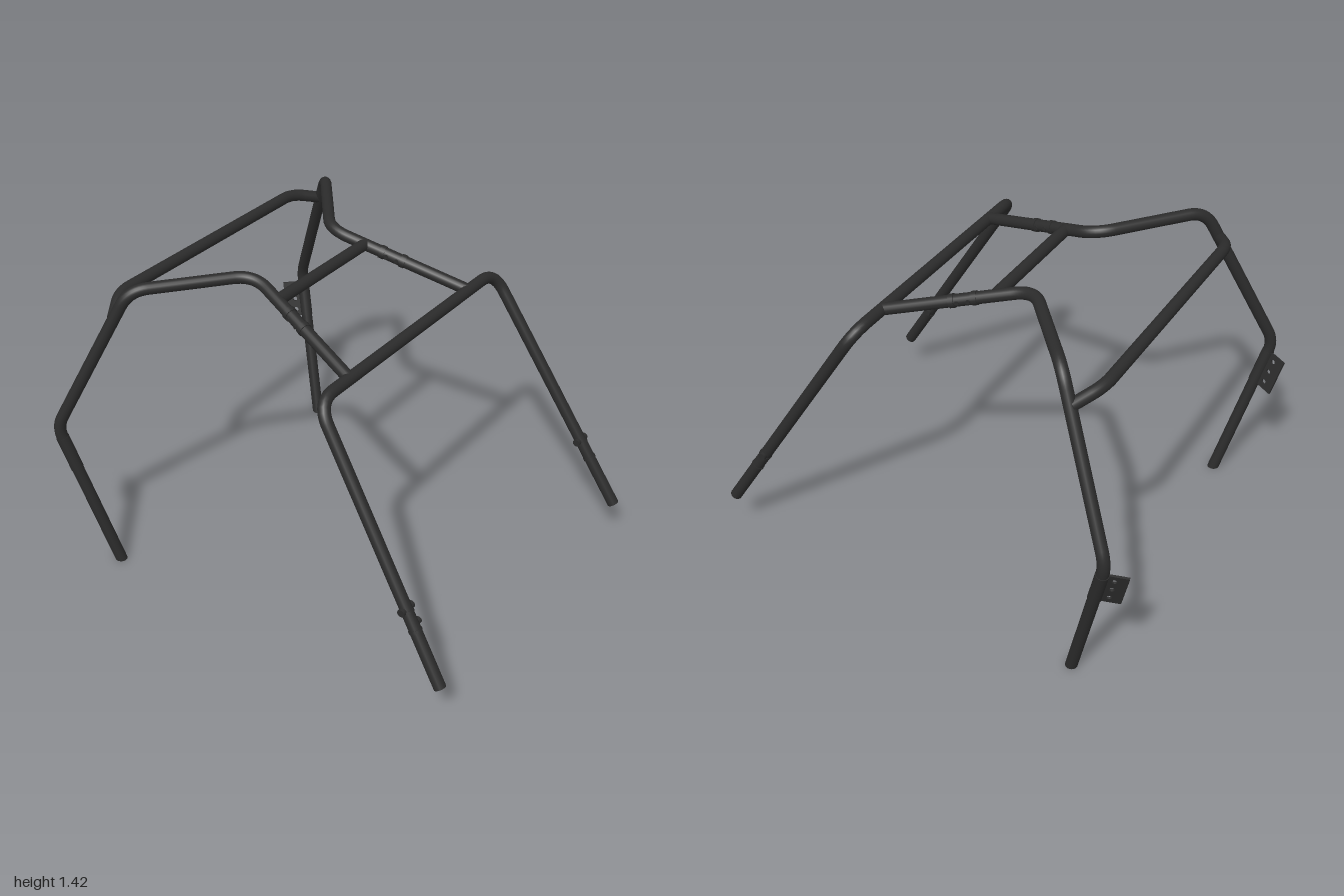
import * as THREE from 'three';

const R = 0.026;
const V = (x, y, z) => new THREE.Vector3(x, y, z);
const steel = new THREE.MeshStandardMaterial({ color: 0x2b2b2b });
const plateSteel = new THREE.MeshStandardMaterial({ color: 0x2b2b2b, side: THREE.DoubleSide });

function add(parent, name, geometry, material = steel) {
  const mesh = new THREE.Mesh(geometry, material);
  mesh.name = name;
  parent.add(mesh);
  return mesh;
}

// Straight runs joined by rounded bends; bends[i] is the setback at inner corner i
function bentPath(points, bends) {
  const path = new THREE.CurvePath();
  let from = points[0];
  for (let i = 1; i < points.length - 1; i++) {
    const p = points[i];
    const a = p.clone().add(points[i - 1].clone().sub(p).setLength(bends[i - 1]));
    const b = p.clone().add(points[i + 1].clone().sub(p).setLength(bends[i - 1]));
    path.add(new THREE.LineCurve3(from, a));
    path.add(new THREE.QuadraticBezierCurve3(a, p, b));
    from = b;
  }
  path.add(new THREE.LineCurve3(from, points[points.length - 1]));
  return path;
}

// Round pipe with closed ends; a flat foot is cut level with the ground
function pipe(parent, name, points, bends = [], flatFoot = false) {
  const path = bentPath(points, bends);
  const segments = bends.length ? 180 : 1;
  const geo = new THREE.TubeGeometry(path, segments, R, 18, false);
  const last = points.length - 1;
  const startDir = points[0].clone().sub(points[1]).normalize();
  let endDir = points[last].clone().sub(points[last - 1]).normalize();
  if (flatFoot) {
    const pos = geo.attributes.position;
    for (let i = segments * 19; i < pos.count; i++) {
      const k = -pos.getY(i) / endDir.y;
      pos.setXYZ(i, pos.getX(i) + k * endDir.x, 0, pos.getZ(i) + k * endDir.z);
    }
    endDir = V(0, -1, 0);
  }
  add(parent, name, geo);
  [[points[0], startDir], [points[last], endDir]].forEach(([p, d]) => {
    const cap = add(parent, name + 'End', new THREE.CircleGeometry(R, 18));
    cap.position.copy(p);
    cap.quaternion.setFromUnitVectors(V(0, 0, 1), d);
  });
}

// Cylinder centred at a point with its axis along a direction
function rod(parent, name, at, dir, radius, length) {
  const mesh = add(parent, name, new THREE.CylinderGeometry(radius, radius, length, 18));
  mesh.position.copy(at);
  mesh.quaternion.setFromUnitVectors(V(0, 1, 0), dir.clone().normalize());
  return mesh;
}

export function createModel() {
  const model = new THREE.Group();
  model.name = 'rollCage';

  // Front hoop
  pipe(model, 'frontHoop', [
    V(-0.725, 0.18, 0.975), V(-0.634, 1.215, 0.322), V(0.634, 1.215, 0.322), V(0.725, 0.18, 0.975),
  ], [0.1, 0.1]);

  // Cross bars
  pipe(model, 'roofCrossBar', [V(-0.298, 1.35, -0.13), V(0.298, 1.35, -0.13)]);
  pipe(model, 'rearCrossBar', [
    V(-0.695, 1.265, -0.672), V(-0.575, 1.305, -0.747), V(0.575, 1.305, -0.747), V(0.695, 1.265, -0.672),
  ], [0.06, 0.06]);

  for (const s of [1, -1]) {
    const side = new THREE.Group();
    side.name = s > 0 ? 'leftSide' : 'rightSide';
    model.add(side);

    // Roof rail running back and down into the rear leg
    const front = V(s * 0.43, 1.215, 0.32), waist = V(s * 0.257, 1.395, -0.285);
    const shoulder = V(s * 0.656, 1.395, -0.61);
    const knee = V(s * 0.855, 0.72, -0.915), foot = V(s * 0.74, 0, -0.737);
    pipe(side, 'sideRail', [front, waist, shoulder, knee, foot], [0.09, 0.08, 0.06], true);

    // Split joint in the roof rail: two collars and cross bolts
    const railDir = waist.clone().sub(front);
    const onRail = (z) => front.clone().lerp(waist, (front.z - z) / (front.z - waist.z));
    for (const z of [0.038, -0.052]) rod(side, 'railCollar', onRail(z), railDir, 0.0295, 0.022);
    const across = railDir.clone().cross(V(0, 1, 0));
    for (const z of [0.015, -0.03]) rod(side, 'railBolt', onRail(z), across, 0.009, 0.058);

    // Joint in the front leg: collar and clamp bolt
    const top = V(s * 0.634, 1.215, 0.322), toe = V(s * 0.725, 0.18, 0.975);
    const legDir = toe.clone().sub(top);
    const onLeg = (y) => top.clone().lerp(toe, (top.y - y) / (top.y - toe.y));
    rod(side, 'legCollar', onLeg(0.395), legDir, 0.0285, 0.012);
    rod(side, 'legCollar', onLeg(0.465), legDir, 0.0285, 0.012);
    rod(side, 'clampBolt', onLeg(0.475), V(1, 0, 0), 0.017, 0.074);
    if (s < 0) rod(side, 'clampNut', onLeg(0.415).add(V(0.03, 0, 0)), V(1, 0, 0), 0.015, 0.02);

    // Drilled bracket plate with its saddle on the rear leg
    const v = knee.clone().sub(foot).normalize();
    const u = V(-s * 0.04, 0, -0.095);
    u.addScaledVector(v, -u.dot(v)).normalize();
    const n = u.clone().cross(v);
    const mid = foot.clone().lerp(knee, 0.585 / 0.72);
    rod(side, 'bracketSaddle', mid, v, 0.028, 0.17);
    const shape = new THREE.Shape([[0, -0.088], [0.105, -0.088], [0.105, 0.088], [0, 0.088]]
      .map(([a, b]) => new THREE.Vector2(a, b)));
    for (const h of [-0.055, 0, 0.055]) {
      shape.holes.push(new THREE.Path().absarc(0.052, h, 0.011, 0, Math.PI * 2, true));
    }
    const plateGeo = new THREE.ExtrudeGeometry(shape, { depth: 0.01, bevelEnabled: false, curveSegments: 12 });
    plateGeo.translate(0, 0, -0.005);
    plateGeo.applyMatrix4(new THREE.Matrix4().makeBasis(u, v, n).setPosition(mid));
    add(side, 'bracketPlate', plateGeo, plateSteel);
  }
  return model;
}
